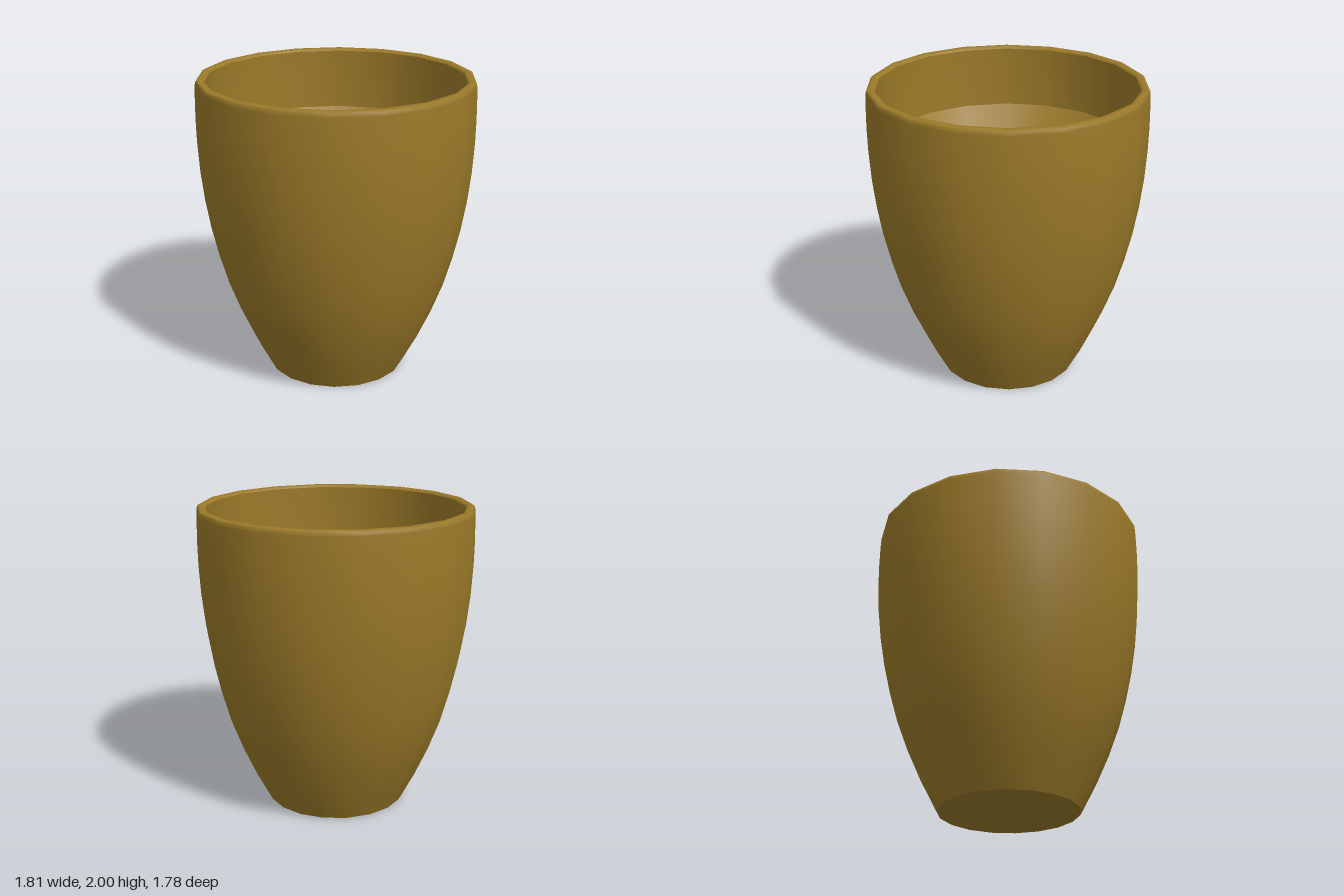
import * as THREE from 'three';

const SIDES = 18;
const material = new THREE.MeshStandardMaterial({ color: 0x9b7a29 });

// Revolve a profile of [radius, height] points, with a corner on the x axis
function turned(name, profile) {
  const points = profile.map(([r, y]) => new THREE.Vector2(r, y));
  const mesh = new THREE.Mesh(new THREE.LatheGeometry(points, SIDES, Math.PI / 2), material);
  mesh.name = name;
  return mesh;
}

// Flat disc facing up (1) or down (-1)
function disc(name, radius, y, facing) {
  const mesh = new THREE.Mesh(new THREE.CircleGeometry(radius, SIDES), material);
  mesh.name = name;
  mesh.rotation.x = -facing * Math.PI / 2;
  mesh.position.y = y;
  return mesh;
}

export function createModel() {
  const cup = new THREE.Group();
  cup.name = 'cup';

  // Curved outside, swelling from the narrow base
  cup.add(turned('outerWall', [
    [0.46, 0], [0.565, 0.2], [0.655, 0.4], [0.73, 0.6], [0.787, 0.8], [0.833, 1],
    [0.867, 1.2], [0.89, 1.4], [0.902, 1.6], [0.905, 1.75], [0.903, 1.9], [0.9, 1.97],
  ]));

  // Softened lip
  cup.add(turned('rim', [[0.9, 1.97], [0.897, 1.99], [0.887, 2], [0.852, 2], [0.842, 1.985]]));

  // Upright inside below the lip, then a tapering well down to the floor
  cup.add(turned('innerWall', [[0.842, 1.985], [0.845, 1.8], [0.84, 1.58]]));
  cup.add(turned('innerTaper', [[0.84, 1.58], [0.46, 0.98]]));
  cup.add(disc('innerFloor', 0.46, 0.98, 1));

  // Underside
  cup.add(disc('base', 0.46, 0, -1));

  return cup;
}
